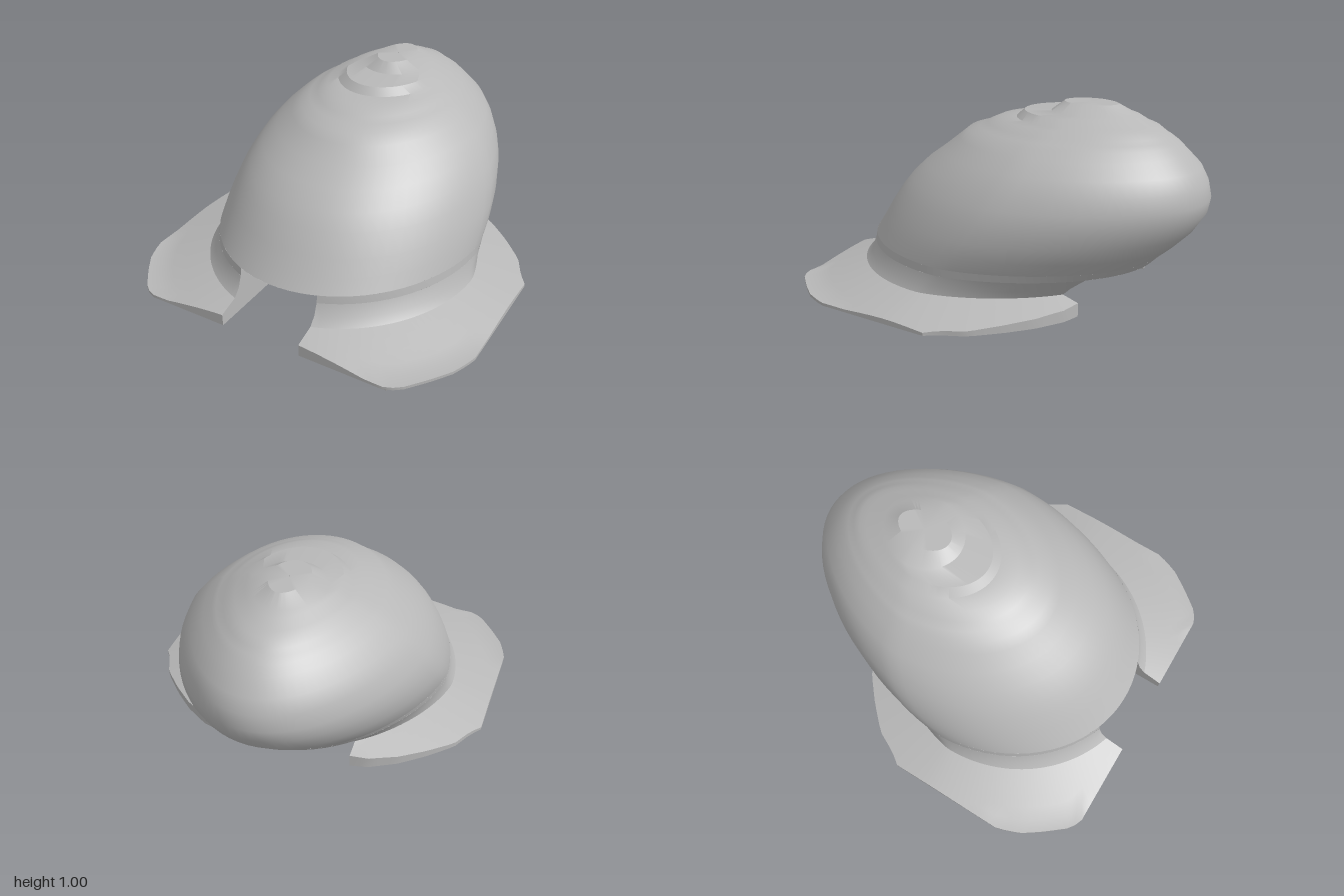
import * as THREE from 'three';
import { toCreasedNormals } from 'three/addons/utils/BufferGeometryUtils.js';

const BASE = 0.015, ROOF = 0.21, FRONT_ROOF = 0.25, STEP_Z = 0.41, NARROW = 0.22, WIDE = 0.37;

// Egg cross-sections: [height, half width, front z, back z]
const foot = [[0.11, 0.73, 0.93, -0.58], [0.15, 0.715, 0.895, -0.63], [ROOF, 0.71, 0.875, -0.72]];
const dome = [
  [FRONT_ROOF, 0.71, 0.87, -0.76], [0.32, 0.71, 0.82, -0.84], [0.4, 0.7, 0.77, -0.92],
  [0.5, 0.675, 0.7, -0.985], [0.57, 0.645, 0.64, -1], [0.65, 0.6, 0.55, -0.985],
  [0.72, 0.545, 0.45, -0.95], [0.79, 0.47, 0.36, -0.88], [0.83, 0.42, 0.31, -0.84],
  [0.85, 0.39, 0.24, -0.81], [0.87, 0.35, 0.2, -0.78], [0.9, 0.31, 0.13, -0.74],
  [0.91, 0.28, 0.03, -0.7], [0.945, 0.23, -0.01, -0.64], [0.955, 0.19, -0.17, -0.6],
  [1, 0.1, -0.23, -0.52], [1, 0.002, -0.37, -0.38],
];

// Point on a section; angle 0 is the front, PI the back, which is narrower
function sectionPoint([y, w, front, back], a) {
  const c = Math.cos(a);
  const taper = 1 - 0.17 * Math.max(0, -c);
  return new THREE.Vector3(w * Math.sin(a) * taper, y, (front + back) / 2 + (front - back) / 2 * c);
}

function arc(row, from, to, n) {
  return Array.from({ length: n + 1 }, (_, i) => sectionPoint(row, from + (to - from) * i / n));
}

// Angle where a section crosses x, between a (narrower side) and b (wider side)
function angleAt(row, x, a, b) {
  for (let i = 0; i < 40; i++) {
    const m = (a + b) / 2;
    if (sectionPoint(row, m).x < x) a = m; else b = m;
  }
  return a;
}
const frontAngle = (row) => angleAt(row, NARROW, 0, Math.PI / 2);
const backAngle = (row) => angleAt(row, WIDE, Math.PI, Math.PI / 2);

// Skin over a list of point rows, bottom to top
function loft(rows, crease = 0.5) {
  const n = rows[0].length, index = [];
  for (let j = 0; j < rows.length - 1; j++) {
    for (let i = 0; i < n - 1; i++) {
      const a = j * n + i, c = a + n;
      index.push(a, a + 1, c, a + 1, c + 1, c);
    }
  }
  const geo = new THREE.BufferGeometry().setFromPoints(rows.flat());
  geo.setIndex(index);
  return toCreasedNormals(geo, crease);
}

// Flat face from 2D points, placed by a mapping (u, v) -> [x, y, z]
function face(points, place, hole) {
  const shape = new THREE.Shape(points.map(([u, v]) => new THREE.Vector2(u, v)));
  if (hole) shape.holes.push(hole);
  const geo = new THREE.ShapeGeometry(shape, 24);
  const p = geo.attributes.position;
  for (let i = 0; i < p.count; i++) p.setXYZ(i, ...place(p.getX(i), p.getY(i)));
  geo.computeVertexNormals();
  return geo;
}

// Evenly spaced points along the brim's outer edge
function brimEdge(n) {
  const corners = [
    [NARROW, 1], [0.68, 1], [0.74, 0.96], [0.83, 0.85], [0.9, 0.75], [0.945, 0.63], [0.945, -0.02],
    [0.9, -0.08], [0.84, -0.2], [0.72, -0.32], [0.6, -0.42], [0.46, -0.5], [WIDE, -0.52],
  ];
  const path = new THREE.CurvePath();
  for (let i = 1; i < corners.length; i++) {
    path.add(new THREE.LineCurve(new THREE.Vector2(...corners[i - 1]), new THREE.Vector2(...corners[i])));
  }
  return Array.from({ length: n + 1 }, (_, i) => path.getPointAt(i / n));
}

export function createModel() {
  const model = new THREE.Group();
  const grey = new THREE.MeshStandardMaterial({ color: 0xb8b8b8, side: THREE.DoubleSide });
  grey.name = 'light grey';
  const add = (parent, name, geo) => {
    const mesh = new THREE.Mesh(geo, grey);
    mesh.name = name;
    parent.add(mesh);
    return mesh;
  };

  // Leaning egg dome with terraced top
  add(model, 'dome', loft(dome.map((row) => arc(row, 0, Math.PI * 2, 72))));

  // Thin band under the dome, open at the front notch
  const band = [foot[2], dome[0]].map((row) => {
    const a = frontAngle(row);
    return arc(row, a, Math.PI * 2 - a, 72);
  });
  add(model, 'domeBand', loft(band));

  // Channel ceilings and the small step between them
  const flat = (y) => (x, z) => [x, y, z];
  const back = backAngle(foot[2]);
  const rearArc = arc(foot[2], back, Math.PI * 2 - back, 24).map((p) => [p.x, p.z]);
  add(model, 'rearChannelCeiling', face([[-WIDE, STEP_Z], [WIDE, STEP_Z], ...rearArc], flat(ROOF)));
  const front = frontAngle(dome[0]);
  const frontArc = arc(dome[0], front, -front, 16).map((p) => [p.x, p.z]);
  add(model, 'frontChannelCeiling', face([[-NARROW, STEP_Z], [NARROW, STEP_Z], ...frontArc], flat(FRONT_ROOF)));
  add(model, 'ceilingStep', face(
    [[-NARROW, ROOF], [NARROW, ROOF], [NARROW, FRONT_ROOF], [-NARROW, FRONT_ROOF]],
    (x, y) => [x, y, STEP_Z]));

  // One foot with its brim on each side of the channel
  const n = 48;
  const edge = brimEdge(n);
  const feet = foot.map((row) => arc(row, frontAngle(row), backAngle(row), n));
  const brimRow = (f) => edge.map((e, i) => {
    const inner = feet[0][i];
    const x = inner.x + (e.x - inner.x) * f, z = inner.z + (e.y - inner.z) * f;
    const d = Math.hypot(x - inner.x, z - inner.z);
    return new THREE.Vector3(x, Math.max(0.03, 0.11 - 0.31 * d), z);
  });
  const rim = edge.map((e) => new THREE.Vector3(e.x, BASE, e.y));
  const rows = [rim, ...[1, 0.8, 0.6, 0.4, 0.2].map(brimRow), ...feet];
  const frontEnd = [...rows.map((r) => [r[0].z, r[0].y]), [band[1][0].z, FRONT_ROOF]];
  const backEnd = rows.map((r) => [r[n].z, r[n].y]);
  const hole = new THREE.Path().absarc(0.53, 0.22, 0.065, 0, Math.PI * 2, true);

  for (const side of [1, -1]) {
    const half = new THREE.Group();
    half.name = side > 0 ? 'leftFoot' : 'rightFoot';
    half.scale.x = side;
    model.add(half);
    add(half, 'brim', loft(rows));
    add(half, 'underside', face(
      [...edge.map((e) => [e.x, e.y]), [WIDE, STEP_Z], [NARROW, STEP_Z]], flat(BASE), hole));
    add(half, 'frontChannelWall', face(
      [[STEP_Z, BASE], ...frontEnd, [STEP_Z, FRONT_ROOF]], (z, y) => [NARROW, y, z]));
    add(half, 'rearChannelWall', face(
      [[STEP_Z, BASE], ...backEnd, [STEP_Z, ROOF]], (z, y) => [WIDE, y, z]));
    add(half, 'channelShoulder', face(
      [[NARROW, BASE], [WIDE, BASE], [WIDE, ROOF], [NARROW, ROOF]], (x, y) => [x, y, STEP_Z]));

    // Blind screw hole
    const bore = add(half, 'screwHole', new THREE.CylinderGeometry(0.065, 0.065, 0.2, 24, 1, true));
    bore.position.set(0.53, BASE + 0.1, 0.22);
    const end = add(half, 'screwHoleEnd', new THREE.CircleGeometry(0.065, 24));
    end.rotation.x = Math.PI / 2;
    end.position.set(0.53, BASE + 0.2, 0.22);
  }

  // Tiny burr under the brim that touches the ground
  const burr = add(model, 'burr', new THREE.BoxGeometry(0.012, 0.03, 0.04));
  burr.position.set(0.67, 0.015, 0.965);
  return model;
}
